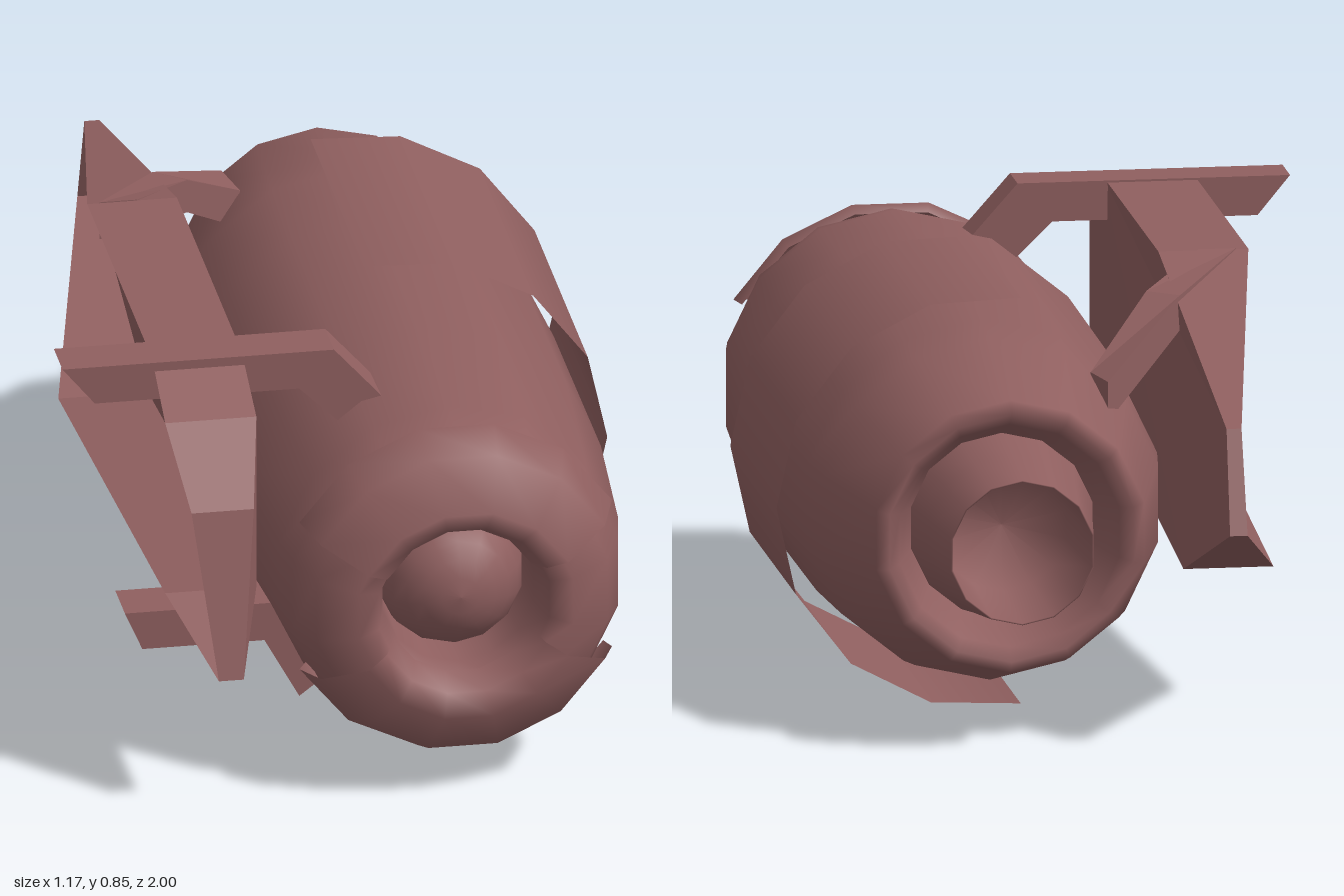
import * as THREE from 'three';

const smooth = new THREE.MeshStandardMaterial({ color: 0x8f5f5f, side: THREE.DoubleSide });
const flat = new THREE.MeshStandardMaterial({ color: 0x8f5f5f, side: THREE.DoubleSide, flatShading: true });
const RAD = Math.PI / 180;

export function createModel() {
  const group = new THREE.Group();

  const add = (name, geometry, material) => {
    const mesh = new THREE.Mesh(geometry, material);
    mesh.name = name;
    group.add(mesh);
    return mesh;
  };

  // Turned part lying along z; profile is [radius, z], angle 0 points down, 90 to +x
  const turned = (name, profile, sides = 14, start = 0, sweep = 360) => {
    const g = new THREE.LatheGeometry(profile.map(([r, z]) => new THREE.Vector2(r, z)),
      sides, start * RAD, sweep * RAD);
    g.rotateX(Math.PI / 2);
    g.translate(0.17, 0.418, 0);
    return add(name, g, smooth);
  };

  // Flat bar: front outline extruded along z
  const bar = (name, outline, z0, z1) => {
    const shape = new THREE.Shape(outline.map(([x, y]) => new THREE.Vector2(x, y)));
    const g = new THREE.ExtrudeGeometry(shape, { depth: z1 - z0, bevelEnabled: false });
    g.translate(0, 0, z0);
    return add(name, g, flat);
  };

  // Triangles from points and quads/polygons (fanned)
  const faceted = (name, points, polygons) => {
    const pos = [];
    for (const p of polygons)
      for (let i = 1; i < p.length - 1; i++)
        for (const k of [p[0], p[i], p[i + 1]]) pos.push(...points[k]);
    const g = new THREE.BufferGeometry();
    g.setAttribute('position', new THREE.Float32BufferAttribute(pos, 3));
    g.computeVertexNormals();
    return add(name, g, flat);
  };

  // Engine body with rolled rear rim and hollow intake
  turned('engineBody', [
    [0.16, -0.56], [0.20, -0.66], [0.225, -0.73], [0.25, -0.76], [0.275, -0.74],
    [0.345, -0.47], [0.36, -0.36], [0.372, -0.1], [0.374, 0.43], [0.35, 0.76],
    [0.335, 0.84], [0.30, 0.92], [0.22, 0.965], [0.175, 0.945], [0.155, 0.87], [0.15, 0.7],
  ]);

  // Upper and lower intake lips
  const lip = [[0.335, 0.83], [0.352, 0.845], [0.32, 0.93], [0.225, 1.0], [0.18, 0.975], [0.155, 0.92]];
  turned('upperIntakeLip', lip, 5, 117, 126);
  turned('lowerIntakeLip', lip, 5, -63, 126);

  // Rounded hub inside the intake
  const hub = [];
  for (let i = 0; i <= 6; i++) {
    const a = (i / 6) * Math.PI / 2;
    hub.push([0.148 * Math.cos(a), 0.77 + 0.14 * Math.sin(a)]);
  }
  turned('intakeHub', hub);

  // Open exhaust nozzle with closed inner end
  turned('exhaustNozzle', [[0, -0.62], [0.13, -0.64], [0.143, -0.9], [0.146, -0.9], [0.168, -0.74], [0.19, -0.6]]);

  // Thin sleeve around the outer side
  turned('outerSleeve', [[0.416, -0.4], [0.416, 0.21]], 8, -10, 200);

  // Pylon: trough open on its outer side; rows are z, y, outer x, inner x
  const rim = [
    [0.62, 0.853, -0.4, -0.22], [0.77, 0.78, -0.4, -0.217], [0.9, 0.64, -0.37, -0.245],
    [0.985, 0.31, -0.33, -0.28], [0.77, 0.41, -0.4, -0.217], [-0.45, 0.28, -0.4, -0.22],
    [-1, 0.46, -0.265, -0.23], [-0.92, 0.66, -0.265, -0.235], [-0.12, 0.853, -0.4, -0.22],
  ];
  const n = rim.length;
  const points = [
    ...rim.map(([z, y, xo]) => [xo, y, z]),
    ...rim.map(([z, y, , xi]) => [xi, y, z]),
  ];
  const walls = rim.map((_, i) => [i, i + n, (i + 1) % n + n, (i + 1) % n]);
  const innerSide = [[0, 8, 7, 6, 5, 4, 1], [1, 4, 3, 2]].map(p => p.map(k => k + n));
  faceted('pylon', points, [...walls, ...innerSide]);

  // Rear strut: cross-section loops running from the pylon top down to the body
  const sections = [
    { a: [-0.375, -0.12], b: [-0.3, -0.12], top: 0.855, low: 0.775 },
    { a: [-0.23, -0.34], b: [-0.17, -0.29], top: 0.81, low: 0.74 },
    { a: [-0.05, -0.58], b: [-0.03, -0.48], top: 0.69, low: 0.61 },
  ];
  const strutPoints = sections.flatMap(({ a, b, top, low }) => [
    [a[0], top, a[1]], [b[0], top, b[1]], [b[0], low, b[1]], [a[0], low, a[1]],
  ]);
  const strutFaces = [[0, 1, 2, 3], [11, 10, 9, 8]];
  for (let s = 0; s < 2; s++)
    for (let i = 0; i < 4; i++) {
      const j = (i + 1) % 4;
      strutFaces.push([s * 4 + i, s * 4 + 4 + i, s * 4 + 4 + j, s * 4 + j]);
    }
  faceted('rearStrut', strutPoints, strutFaces);

  // Cross bars tying the pylon to the body
  bar('upperCrossBar', [[-0.585, 0.857], [-0.52, 0.778], [-0.11, 0.778], [-0.03, 0.70],
    [0.055, 0.75], [-0.04, 0.857]], 0.55, 0.65);
  bar('lowerCrossBar', [[-0.465, 0.33], [-0.43, 0.25], [-0.185, 0.25], [-0.115, 0.123],
    [-0.06, 0.165], [-0.165, 0.33]], 0.57, 0.68);

  return group;
}
